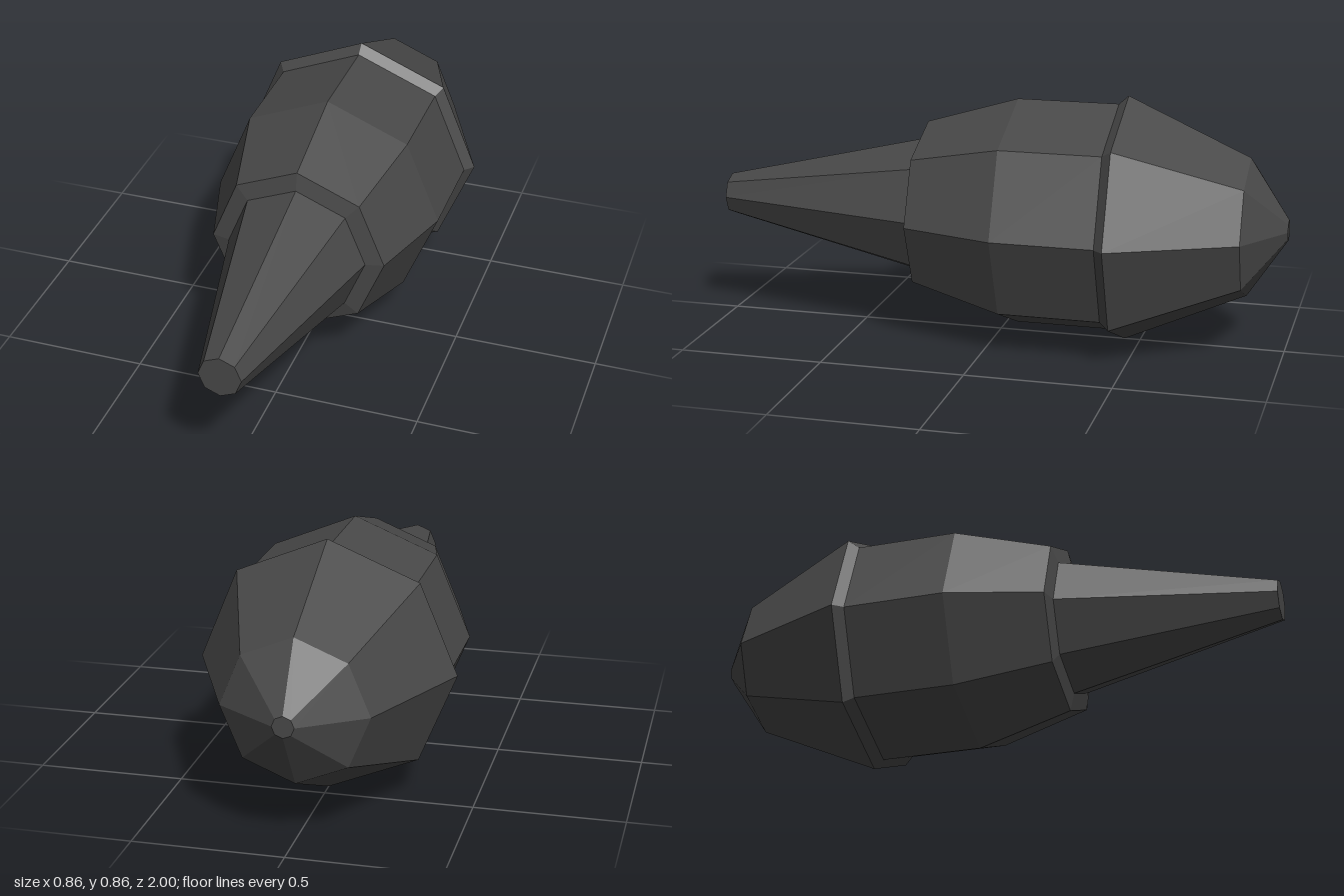
import * as THREE from 'three';

const SIDES = 8;
const AXIS_HEIGHT = 0.432;

export function createModel() {
  const group = new THREE.Group();
  group.name = 'taperedPod';

  const darkGrey = new THREE.MeshStandardMaterial({ color: 0x484848, flatShading: true });
  darkGrey.name = 'dark grey';

  // Octagonal section turned around the z axis; profile is [radius, z], back to front
  function addSection(name, profile) {
    const points = profile.map(([r, z]) => new THREE.Vector2(r, z));
    const geometry = new THREE.LatheGeometry(points, SIDES);
    geometry.rotateX(Math.PI / 2);
    const mesh = new THREE.Mesh(geometry, darkGrey);
    mesh.name = name;
    mesh.position.y = AXIS_HEIGHT;
    group.add(mesh);
  }

  // Rounded rear with a small flat tip
  addSection('rearCap', [[0, -1], [0.036, -1], [0.242, -0.865], [0.432, -0.445]]);
  // Raised rim stepping down to the body
  addSection('rim', [[0.432, -0.445], [0.402, -0.412]]);
  // Straight body narrowing towards the front
  addSection('body', [[0.402, -0.412], [0.402, -0.06], [0.305, 0.262]]);
  // Shoulder around the nozzle root
  addSection('shoulder', [[0.305, 0.262], [0.243, 0.276]]);
  // Long tapered nozzle with a flat end
  addSection('nozzle', [[0.243, 0.276], [0.072, 1], [0, 1]]);

  return group;
}
